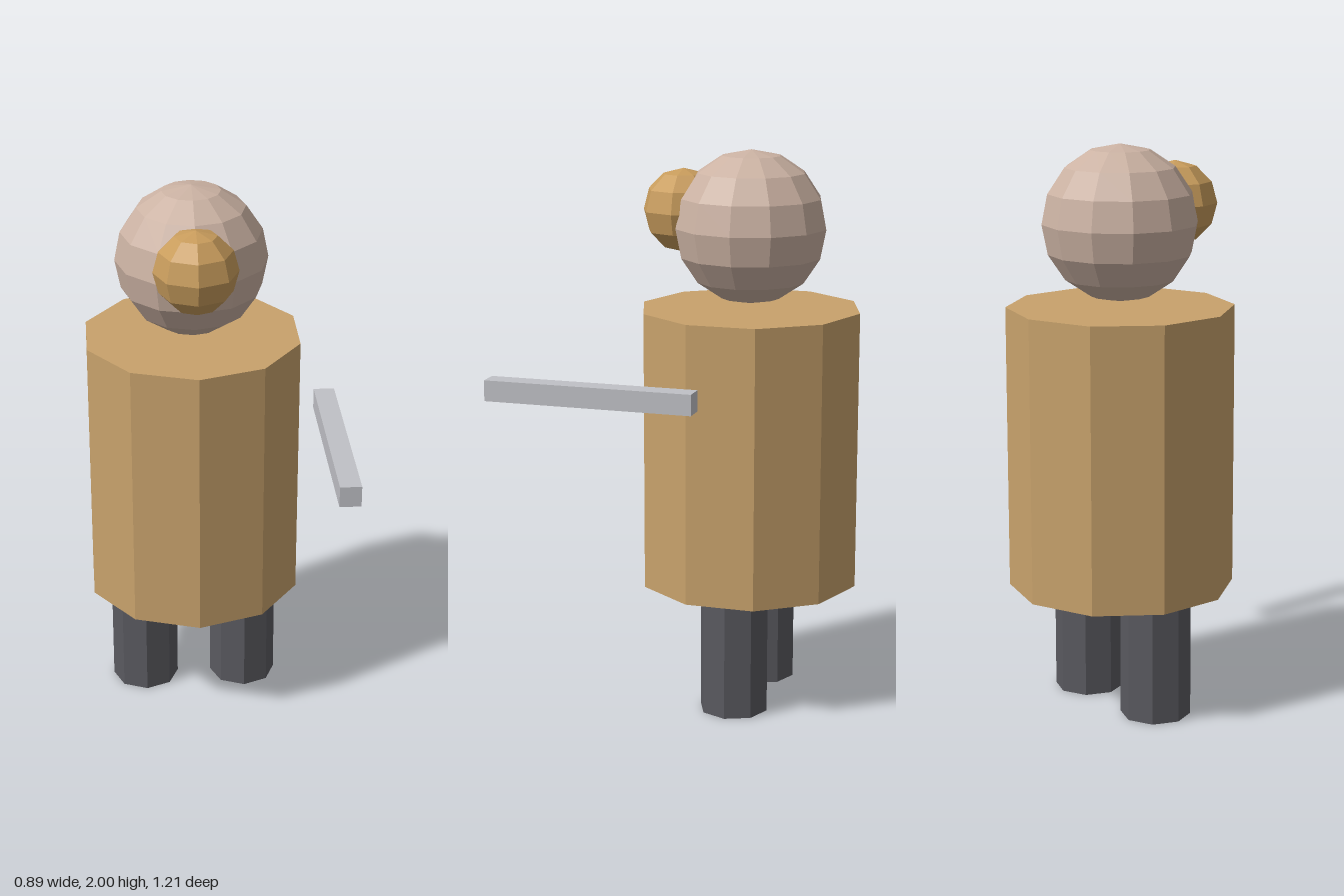
import * as THREE from 'three';

const paint = (name, color) => {
  const m = new THREE.MeshStandardMaterial({ color, flatShading: true });
  m.name = name;
  return m;
};

export function createModel() {
  const group = new THREE.Group();
  group.name = 'figure';
  const tan = paint('tan', 0xc8a26c);
  const skin = paint('pale skin', 0xcbb2a3);
  const amber = paint('amber', 0xc89c5c);
  const charcoal = paint('charcoal', 0x5a5a60);
  const steel = paint('steel', 0xc0c1c6);

  const add = (name, geometry, material, x, y, z) => {
    const mesh = new THREE.Mesh(geometry, material);
    mesh.name = name;
    mesh.position.set(x, y, z);
    group.add(mesh);
  };

  // The figure stands off-centre because the rod reaches forward
  const cx = -0.067, cz = -0.207;

  // Ten-sided body
  add('body', new THREE.CylinderGeometry(0.398, 0.398, 1, 10), tan, cx, 0.94, cz);

  // Head and snout
  add('head', new THREE.SphereGeometry(0.272, 12, 8), skin, cx, 1.728, cz);
  add('snout', new THREE.SphereGeometry(0.149, 8, 6), amber, cx, 1.778, 0.041);

  // Legs
  for (const [name, side] of [['leftLeg', 1], ['rightLeg', -1]]) {
    add(name, new THREE.CylinderGeometry(0.124, 0.124, 0.44, 8), charcoal, cx + side * 0.187, 0.22, cz);
  }

  // Rod held out beside the body
  add('rod', new THREE.BoxGeometry(0.074, 0.074, 0.75), steel, 0.407, 1.193, 0.23);

  return group;
}
